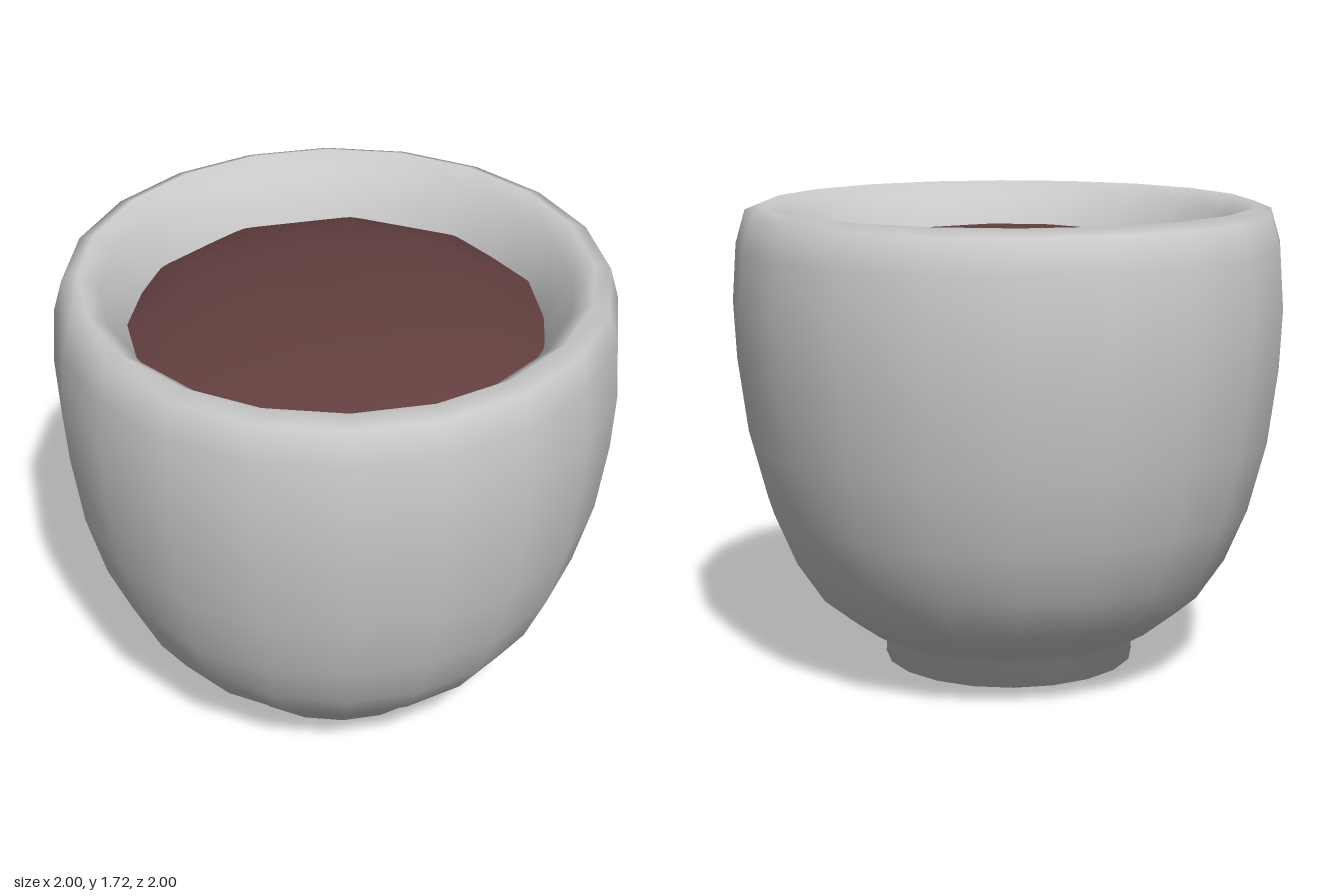
import * as THREE from 'three';

// Spins a profile of [radius, height] points into a smooth mesh with a corner on +x
function turned(name, profile, sides, color) {
  const points = profile.map(([r, y]) => new THREE.Vector2(r, y));
  const mesh = new THREE.Mesh(
    new THREE.LatheGeometry(points, sides, Math.PI / 2),
    new THREE.MeshStandardMaterial({ color })
  );
  mesh.name = name;
  return mesh;
}

export function createModel() {
  const group = new THREE.Group();
  group.name = 'teacup';

  // Cup: foot, rounded outer wall, soft rim, then the inner wall down to the floor
  group.add(turned('cup', [
    [0, 0], [0.35, 0.005], [0.46, 0.035], [0.455, 0.11],
    [0.585, 0.19], [0.71, 0.29], [0.81, 0.44], [0.89, 0.63],
    [0.955, 0.88], [0.99, 1.15], [1.0, 1.36], [0.985, 1.57],
    [0.95, 1.69], [0.89, 1.715], [0.82, 1.66], [0.7, 1.45],
    [0.66, 1.1], [0.6, 0.75], [0.5, 0.48], [0.3, 0.34], [0, 0.3],
  ], 20, 0xcccccc));

  // Tea: a shallow dome with fewer sides, its edge sunk into the inner wall
  const dome = [];
  for (let i = 6; i >= 0; i--) {
    const a = (i * Math.PI) / 12;
    dome.push([0.85 * Math.sin(a), 1.4 + 0.22 * Math.cos(a)]);
  }
  group.add(turned('tea', dome, 11, 0x633f3f));

  return group;
}
